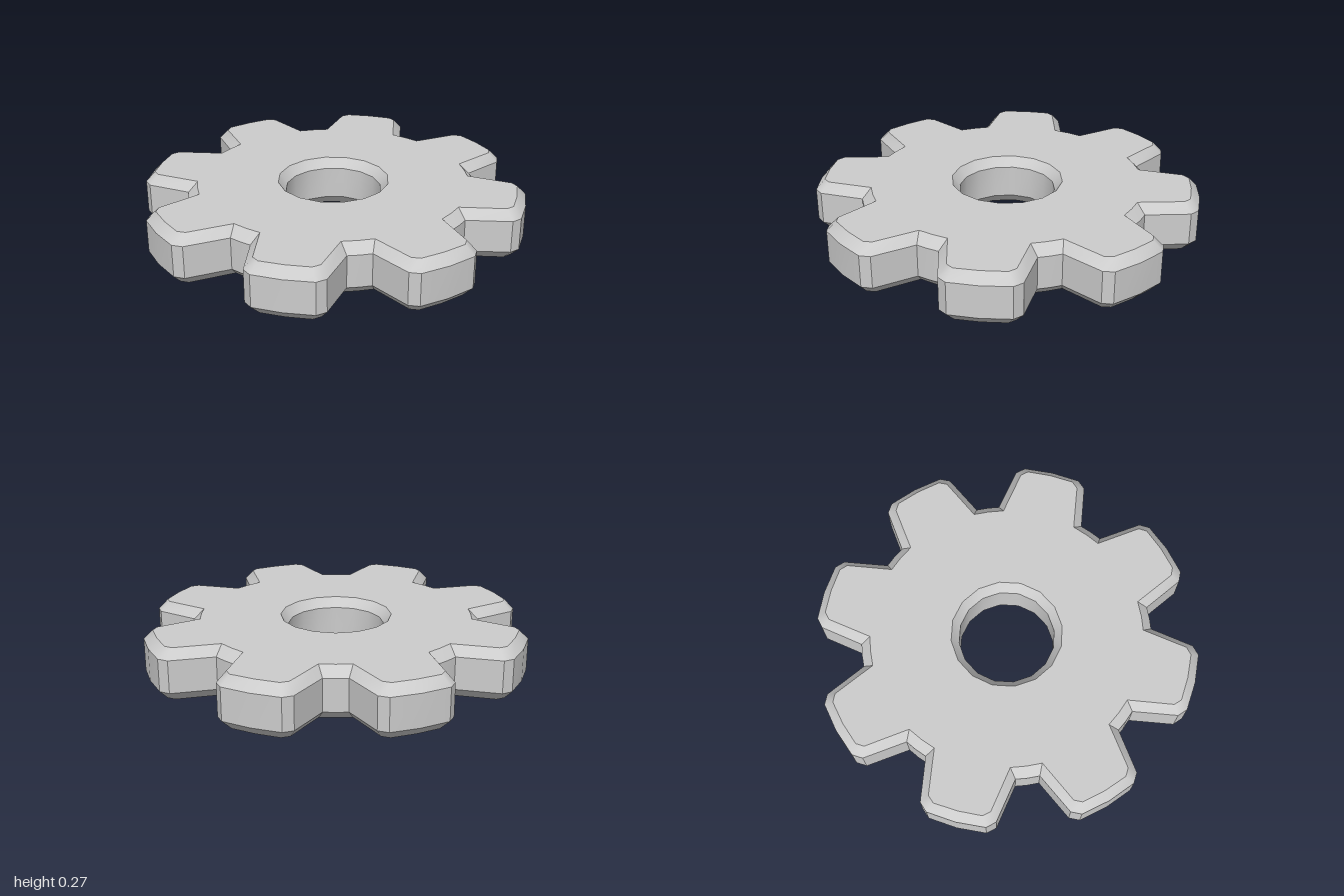
import * as THREE from 'three';
import { mergeGeometries, toCreasedNormals } from 'three/addons/utils/BufferGeometryUtils.js';

const TEETH = 8, HEIGHT = 0.27, BEVEL = 0.05;

// Half tooth from tip to valley, as [sideways, outward]
const OUTER_TOOTH = [[0.152, 0.988], [0.194, 0.95], [0.232, 0.72]];
const INNER_TOOTH = [[0.125, 0.945], [0.158, 0.915], [0.195, 0.68]];

// Closed gear outline: each tooth mirrored, plus tip and valley midpoints
function gearLoop(half, tip, valley) {
  const tooth = [
    ...half.map(([x, z]) => [-x, z]).reverse(),
    [0, tip],
    ...half,
    [valley * Math.sin(Math.PI / TEETH), valley * Math.cos(Math.PI / TEETH)],
  ];
  const loop = [];
  for (let i = 0; i < TEETH; i++) {
    const a = (i * 2 * Math.PI) / TEETH, c = Math.cos(a), s = Math.sin(a);
    for (const [x, z] of tooth) loop.push(new THREE.Vector2(x * c + z * s, z * c - x * s));
  }
  return loop;
}

function circleLoop(radius, sides = 16) {
  return Array.from({ length: sides }, (_, i) => {
    const a = (i * 2 * Math.PI) / sides;
    return new THREE.Vector2(radius * Math.sin(a), radius * Math.cos(a));
  });
}

// Quads joining successive [loop, y] rings
function skin(rings) {
  const pos = [];
  for (let r = 0; r < rings.length - 1; r++) {
    const [A, ya] = rings[r], [B, yb] = rings[r + 1];
    for (let i = 0; i < A.length; i++) {
      const j = (i + 1) % A.length;
      const a = [A[i].x, ya, A[i].y], b = [A[j].x, ya, A[j].y];
      const c = [B[j].x, yb, B[j].y], d = [B[i].x, yb, B[i].y];
      pos.push(...a, ...b, ...c, ...a, ...c, ...d);
    }
  }
  const g = new THREE.BufferGeometry();
  g.setAttribute('position', new THREE.Float32BufferAttribute(pos, 3));
  return g;
}

// Flat face with the bore cut out, facing up or down
function cap(outline, hole, y, up) {
  const shape = new THREE.Shape(outline);
  shape.holes.push(new THREE.Path(hole));
  const g = new THREE.ShapeGeometry(shape).toNonIndexed();
  g.rotateX(up ? -Math.PI / 2 : Math.PI / 2).translate(0, y, 0);
  g.deleteAttribute('uv');
  g.deleteAttribute('normal');
  return g;
}

export function createModel() {
  const group = new THREE.Group();
  group.name = 'gear';
  const steel = new THREE.MeshStandardMaterial({ color: 0xcccccc });
  steel.name = 'light grey';

  const outer = gearLoop(OUTER_TOOTH, 1, 0.757);
  const inner = gearLoop(INNER_TOOTH, 0.953, 0.707);
  const bore = circleLoop(0.25), boreRim = circleLoop(0.29);
  const low = BEVEL, high = HEIGHT - BEVEL;

  const geometry = mergeGeometries([
    skin([[inner, 0], [outer, low], [outer, high], [inner, HEIGHT]]),        // toothed rim
    skin([[boreRim, HEIGHT], [bore, high], [bore, low], [boreRim, 0]]),      // bore
    cap(inner, boreRim, HEIGHT, true),
    cap(inner, boreRim, 0, false),
  ]);
  const body = new THREE.Mesh(toCreasedNormals(geometry, Math.PI / 6), steel);
  body.name = 'gearBody';
  group.add(body);
  return group;
}
